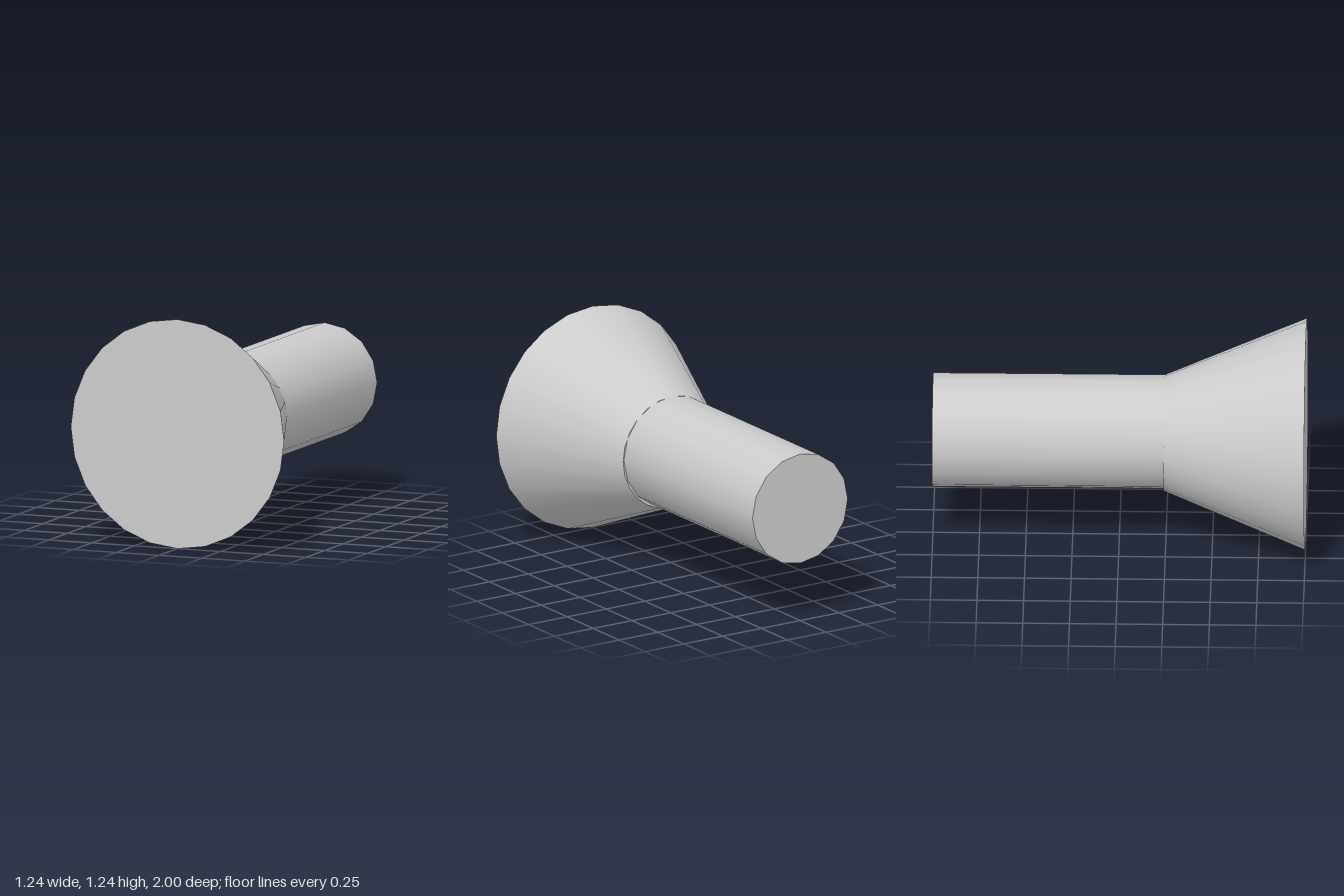
import * as THREE from 'three';

const AXIS_Y = 0.625;

export function createModel() {
  const group = new THREE.Group();
  const material = new THREE.MeshStandardMaterial({ color: 0xcccccc });

  // Round part lying along z, from its back end to its front end
  function addRound(name, backR, frontR, backZ, frontZ, sides, y) {
    const geometry = new THREE.CylinderGeometry(frontR, backR, frontZ - backZ, sides);
    geometry.rotateX(Math.PI / 2);
    const mesh = new THREE.Mesh(geometry, material);
    mesh.name = name;
    mesh.position.set(0, y, (backZ + frontZ) / 2);
    group.add(mesh);
  }

  // Flared hood with a closed front
  addRound('hood', 0.312, 0.622, 0.24, 1, 24, AXIS_Y);
  // Straight barrel, set slightly high and running into the hood
  addRound('barrel', 0.307, 0.307, -1, 0.3, 16, AXIS_Y + 0.007);

  return group;
}
